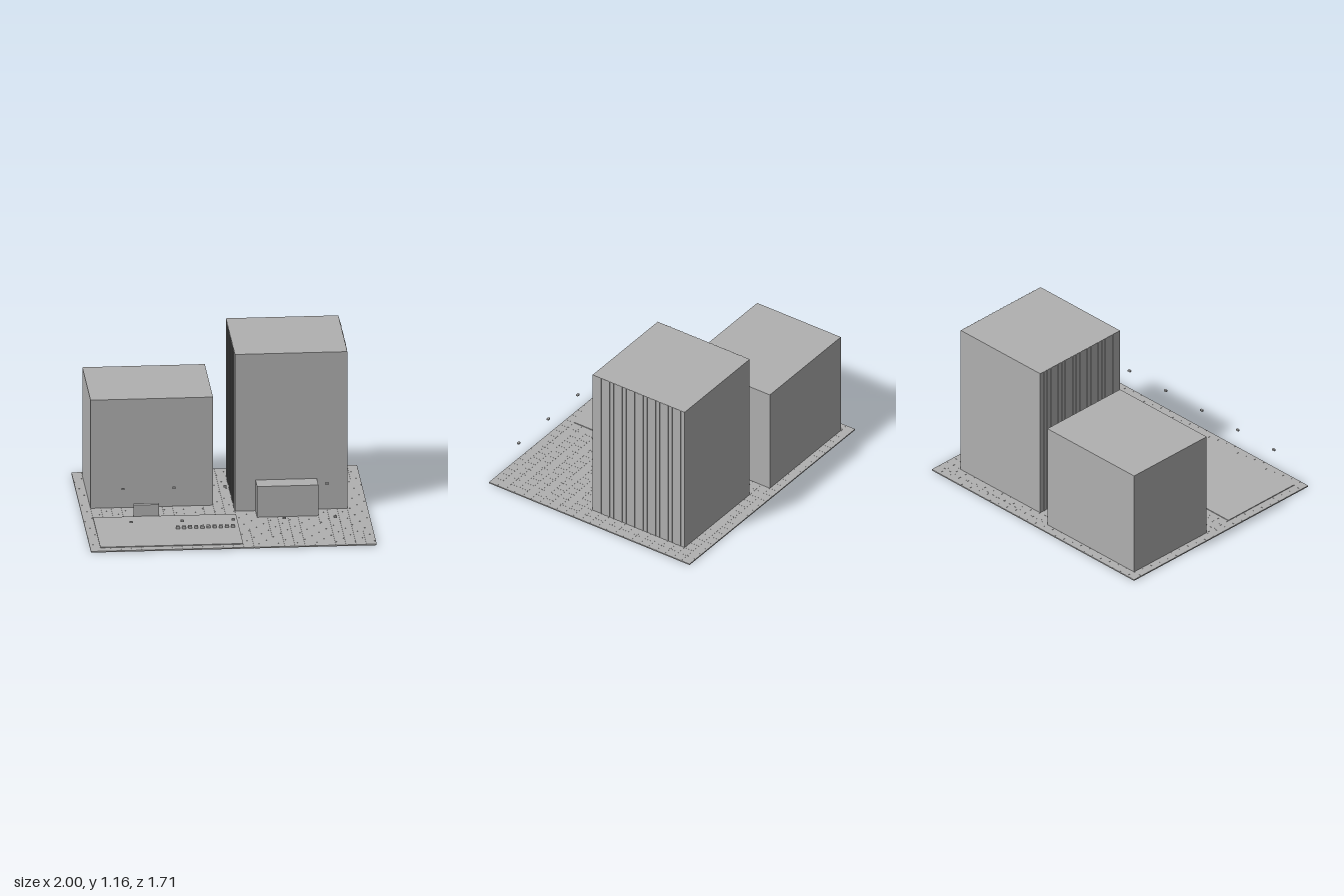
import * as THREE from 'three';
import { mergeGeometries } from 'three/addons/utils/BufferGeometryUtils.js';

const U = 1 / 14; // one paving tile
const GROUND = 0.009;

// Box geometry from its min and max corners
function span(x0, x1, y0, y1, z0, z1) {
  return new THREE.BoxGeometry(x1 - x0, y1 - y0, z1 - z0)
    .translate((x0 + x1) / 2, (y0 + y1) / 2, (z0 + z1) / 2);
}

export function createModel() {
  const model = new THREE.Group();
  model.name = 'cityBlock';
  const concrete = new THREE.MeshStandardMaterial({ color: 0xb0b0b0 });
  concrete.name = 'concrete grey';

  function add(name, geometry) {
    const mesh = new THREE.Mesh(geometry, concrete);
    mesh.name = name;
    model.add(mesh);
  }

  // Paving: 28 x 24 separate slabs with hairline joints
  const tiles = [];
  const half = U / 2 - 0.0003;
  for (let i = 0; i < 28; i++) {
    for (let j = 0; j < 24; j++) {
      const x = (i - 13.5) * U, z = (j - 11.5) * U;
      tiles.push(span(x - half, x + half, 0, GROUND, z - half, z + half));
    }
  }
  add('pavingTiles', mergeGeometries(tiles));

  // Raised plaza
  add('plaza', span(-13 * U, U, 0.004, 0.0143, 2 * U, 11 * U));

  // Buildings
  add('lowBuilding', span(-13 * U, -U, GROUND, 0.806, -11 * U, -U));
  add('tower', span(U, 12 * U, GROUND, 1.164, -10 * U, U));
  add('entranceHall', span(3 * U, 9 * U, GROUND, 0.235, U, 3 * U));

  // Vertical fins on both sides of the tower
  const fins = [];
  for (const side of [U, 12 * U]) {
    for (let i = 0; i < 20; i++) {
      const z = -i * U / 2;
      fins.push(span(side - 0.0036, side + 0.0036, GROUND, 1.164, z - 0.0036, z + 0.0036));
    }
  }
  add('towerFins', mergeGeometries(fins));

  // Free-standing sign wall
  add('signWall', span(-9 * U, -6.5 * U, GROUND, 0.095, 0.1, 0.136));

  // Row of small blocks on the plaza
  const blocks = [];
  for (let i = 0; i < 10; i++) {
    const x = -5 * U + i * 0.6 * U;
    blocks.push(span(x - 0.0125, x + 0.0125, 0.0143, 0.032, 0.412, 0.437));
  }
  add('plazaBlocks', mergeGeometries(blocks));

  // Floating lamp heads in two rows; the hall takes one place in the back row
  const lamps = [];
  for (const z of [0.088, 0.804]) {
    for (let i = -2; i <= 2; i++) {
      if (z < 0.5 && i === 1) continue;
      const x = i * 5 * U;
      lamps.push(span(x - 0.0107, x + 0.0107, 0.194, 0.206, z - 0.007, z + 0.007));
    }
  }
  add('lampHeads', mergeGeometries(lamps));

  return model;
}
